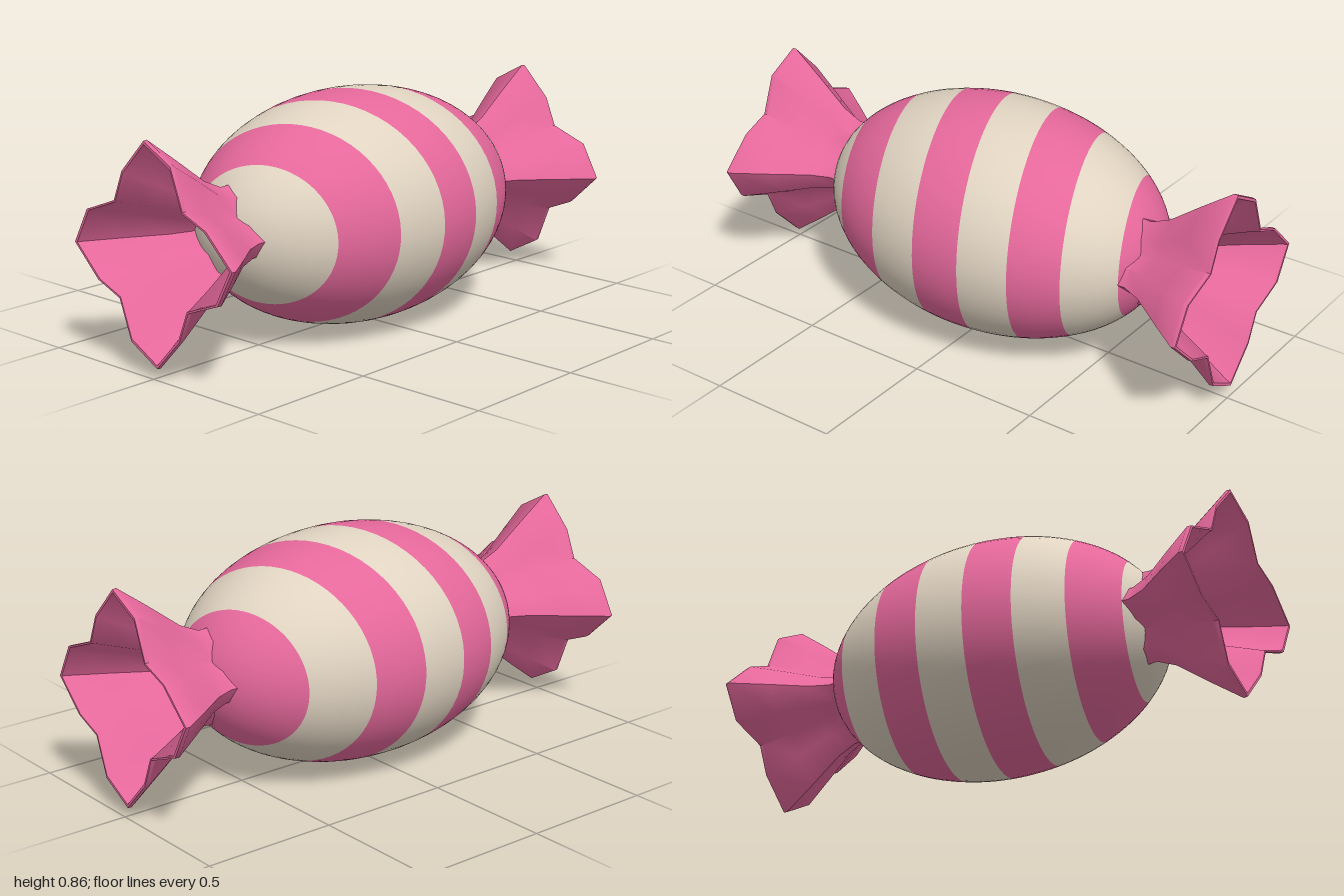
import * as THREE from 'three';
import { toCreasedNormals } from 'three/addons/utils/BufferGeometryUtils.js';

const pink = new THREE.MeshStandardMaterial({ color: 0xe5689b });
pink.name = 'pink';
const cream = new THREE.MeshStandardMaterial({ color: 0xe0d3c1 });
cream.name = 'cream';

const RX = 0.69, RY = 0.43, RZ = 0.47; // half sizes of the sweet
const SLANT = 0.34; // stripe edges lie on planes x - SLANT * z = c

// Egg-shaped body: bands of a sphere, tilted and then stretched
function createBody() {
  const body = new THREE.Group();
  body.name = 'body';
  const reach = Math.hypot(RX, SLANT * RZ);
  const axis = new THREE.Vector3(RX, 0, -SLANT * RZ).normalize();
  const tilt = new THREE.Quaternion().setFromUnitVectors(new THREE.Vector3(0, 1, 0), axis);
  const edges = [reach, 0.58, 0.387, 0.193, -0.003, -0.195, -0.389, -0.579, -reach];
  for (let i = 0; i < edges.length - 1; i++) {
    const start = Math.acos(edges[i] / reach);
    const end = Math.acos(edges[i + 1] / reach);
    const band = new THREE.SphereGeometry(1, 64, 8, 0, Math.PI * 2, start, end - start);
    band.applyQuaternion(tilt).scale(RX, RY, RZ);
    const mesh = new THREE.Mesh(band, i % 2 ? cream : pink);
    mesh.name = i % 2 ? 'creamStripe' : 'pinkStripe';
    body.add(mesh);
  }
  return body;
}

// Flared wrapper end: a four-pointed star swept outwards and back as a thin shell
function createWrapperGeometry() {
  const quarter = [[0.02, 0.395], [-0.11, 0.325], [-0.165, 0.18], [-0.275, 0.135]]; // z, y
  const star = [];
  for (let q = 0; q < 4; q++) {
    for (let [z, y] of quarter) {
      for (let k = 0; k < q; k++) [z, y] = [-y, z];
      star.push([z, y]);
    }
  }
  // x position and star scale: outside, rim, then inside
  const rings = [
    [0.63, 0.45], [0.665, 0.445], [0.74, 0.53], [0.86, 0.76], [0.985, 0.99], [1, 0.985],
    [1, 0.955], [0.985, 0.94], [0.86, 0.72], [0.74, 0.49], [0.665, 0.41], [0.63, 0.42],
  ];
  const n = star.length, positions = [], index = [];
  rings.forEach(([x, s], i) => {
    star.forEach(([z, y], j) => {
      positions.push(x, y * s, z * s);
      const next = (i + 1) % rings.length, k = (j + 1) % n;
      const a = i * n + j, b = i * n + k, c = next * n + j, d = next * n + k;
      index.push(a, c, b, b, c, d);
    });
  });
  const geometry = new THREE.BufferGeometry();
  geometry.setAttribute('position', new THREE.Float32BufferAttribute(positions, 3));
  geometry.setIndex(index);
  return toCreasedNormals(geometry, 0.8);
}

export function createModel() {
  const model = new THREE.Group();
  model.name = 'wrappedSweet';
  const sweet = new THREE.Group();
  sweet.name = 'sweet';
  sweet.position.y = RY;
  sweet.add(createBody());
  const wrapper = createWrapperGeometry();
  ['leftWrapperEnd', 'rightWrapperEnd'].forEach((name, i) => {
    const end = new THREE.Mesh(wrapper, pink);
    end.name = name;
    end.rotation.y = i * Math.PI;
    sweet.add(end);
  });
  model.add(sweet);
  return model;
}
